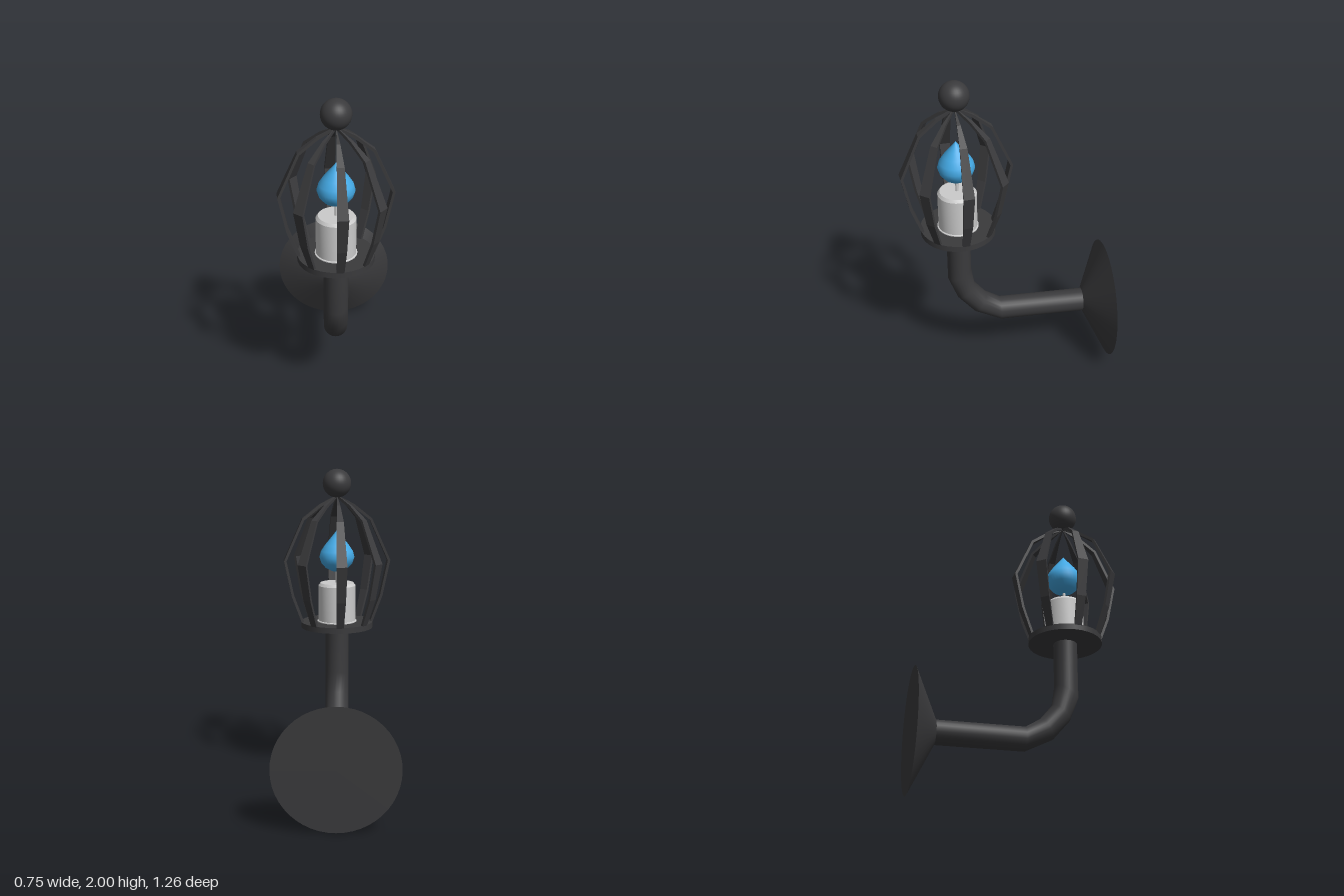
import * as THREE from 'three';
import { mergeVertices, toCreasedNormals } from 'three/addons/utils/BufferGeometryUtils.js';

const AXIS_Z = 0.295; // lantern axis
const PIPE_Y = 0.376; // height of the wall plate and horizontal pipe

const iron = new THREE.MeshStandardMaterial({ color: 0x3a3a3c });
const wax = new THREE.MeshStandardMaterial({ color: 0xcccccc });
const blue = new THREE.MeshStandardMaterial({ color: 0x44aae6 });

const lathe = (points, segments = 32) =>
  new THREE.LatheGeometry(points.map(([r, y]) => new THREE.Vector2(r, y)), segments);

// Bent pipe: each ring is given by its outer and inner edge as [z, y]
function pipeGeometry(radius) {
  const rings = [
    [[0.368, 1.02], [0.222, 1.02]],
    [[0.368, 0.655], [0.223, 0.725]],
    [[0.313, 0.51], [0.205, 0.6]],
    [[0.21, 0.388], [0.13, 0.507]],
    [[0.04, 0.303], [0.04, 0.45]],
    [[-0.5, 0.303], [-0.5, 0.45]],
  ];
  const segments = 24;
  const geo = new THREE.CylinderGeometry(1, 1, 1, segments, rings.length - 1, true);
  const pos = geo.attributes.position;
  for (let i = 0; i < pos.count; i++) {
    const [outer, inner] = rings[Math.floor(i / (segments + 1))];
    const t = (pos.getZ(i) + 1) / 2;
    pos.setXYZ(
      i,
      pos.getX(i) * radius,
      THREE.MathUtils.lerp(inner[1], outer[1], t),
      THREE.MathUtils.lerp(inner[0], outer[0], t)
    );
  }
  geo.deleteAttribute('uv');
  geo.deleteAttribute('normal');
  const merged = mergeVertices(geo, 1e-4);
  merged.computeVertexNormals();
  return merged;
}

// Cage rib: a bowed strip swept through a narrow wedge around the axis
function ribGeometry(wedge) {
  const outer = [[0.222, 1.03], [0.288, 1.21], [0.335, 1.435], [0.219, 1.696], [0.11, 1.783], [0, 1.84]];
  const inner = [[0, 1.822], [0.1, 1.768], [0.206, 1.686], [0.319, 1.433], [0.272, 1.213], [0.205, 1.03]];
  const shape = new THREE.Shape([...outer, ...inner].map(([r, y]) => new THREE.Vector2(r, y)));
  const geo = new THREE.ExtrudeGeometry(shape, { depth: 1, bevelEnabled: false });
  const pos = geo.attributes.position;
  for (let i = 0; i < pos.count; i++) {
    const r = pos.getX(i);
    const phi = (1 - pos.getZ(i)) * wedge;
    pos.setXYZ(i, r * Math.sin(phi), pos.getY(i), r * Math.cos(phi));
  }
  geo.computeVertexNormals();
  return geo;
}

export function createModel() {
  const model = new THREE.Group();
  model.name = 'wallLantern';
  const lantern = new THREE.Group();
  lantern.name = 'lantern';
  lantern.position.z = AXIS_Z;
  model.add(lantern);

  const add = (parent, name, geometry, material, y = 0) => {
    const mesh = new THREE.Mesh(geometry, material);
    mesh.name = name;
    mesh.position.y = y;
    parent.add(mesh);
    return mesh;
  };

  // Conical wall plate, narrow end facing forward
  const plate = add(model, 'wallPlate', new THREE.CylinderGeometry(0.073, 0.374, 0.145, 48), iron, PIPE_Y);
  plate.rotation.x = Math.PI / 2;
  plate.position.z = -0.5625;

  add(model, 'bentPipe', pipeGeometry(0.073), iron);

  // Tray and candle
  add(lantern, 'tray', new THREE.CylinderGeometry(0.226, 0.226, 0.036, 32), iron, 1.027);
  const candle = lathe([[0.124, 1.045], [0.124, 1.05], [0.117, 1.053], [0.117, 1.275], [0.104, 1.292], [0, 1.292]]);
  add(lantern, 'candle', toCreasedNormals(candle, 0.5), wax);
  add(lantern, 'wick', new THREE.CylinderGeometry(0.009, 0.009, 0.1, 10), wax, 1.335);

  // Teardrop flame
  add(lantern, 'flame', lathe([
    [0, 1.362], [0.035, 1.367], [0.07, 1.385], [0.098, 1.417], [0.11, 1.455],
    [0.1, 1.492], [0.075, 1.53], [0.045, 1.567], [0.018, 1.6], [0, 1.625],
  ]), blue);

  // Eight ribs around the flame, gathered under the ball
  const cage = new THREE.Group();
  cage.name = 'cage';
  lantern.add(cage);
  const rib = ribGeometry(Math.PI / 16);
  for (let i = 0; i < 8; i++) {
    add(cage, 'cageRib', rib, iron).rotation.y = (i * Math.PI) / 4;
  }
  add(lantern, 'topBall', new THREE.SphereGeometry(0.088, 32, 20), iron, 1.912);

  return model;
}
